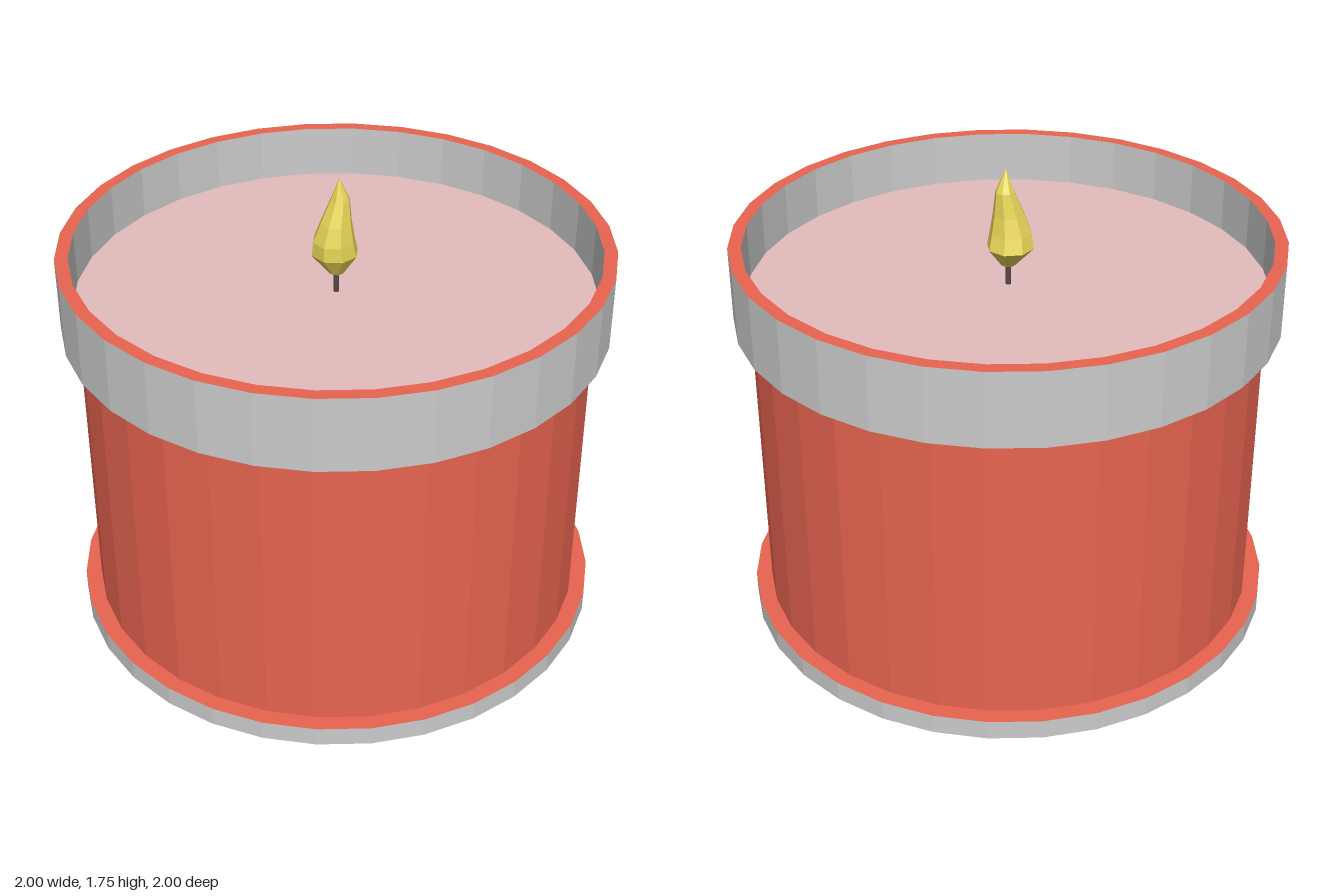
import * as THREE from 'three';

const SIDES = 32;
const mat = (color, side = THREE.FrontSide) =>
  new THREE.MeshStandardMaterial({ color, flatShading: true, side });

export function createModel() {
  const group = new THREE.Group();
  const grey = mat(0xcccccc), greyOpen = mat(0xcccccc, THREE.DoubleSide);
  const red = mat(0xe86450), redOpen = mat(0xe86450, THREE.DoubleSide);
  const wax = mat(0xe4bcbc), yellow = mat(0xe8d658, THREE.DoubleSide), dark = mat(0x5a464c);

  const add = (name, geometry, material, y = 0, parent = group) => {
    const mesh = new THREE.Mesh(geometry, material);
    mesh.name = name;
    mesh.position.y = y;
    parent.add(mesh);
    return mesh;
  };
  // Upright cylinder between two heights
  const drum = (r, y0, y1, open = false) =>
    new THREE.CylinderGeometry(r, r, y1 - y0, SIDES, 1, open).translate(0, (y0 + y1) / 2, 0);
  const flatRing = (r0, r1) => new THREE.RingGeometry(r0, r1, SIDES).rotateX(-Math.PI / 2);

  // Foot plate: grey edge, red faces
  add('base', drum(1, 0, 0.075), [grey, red, red]);
  add('jarBody', drum(0.94, 0.075, 1.21, true), red);

  // Raised collar around the top
  const rim = new THREE.Group();
  rim.name = 'rim';
  group.add(rim);
  add('rimOuterWall', drum(1, 1.21, 1.49, true), greyOpen, 0, rim);
  add('rimInnerWall', drum(0.952, 1.21, 1.49, true), greyOpen, 0, rim);
  add('rimTop', flatRing(0.952, 1), redOpen, 1.49, rim);
  add('rimUnderside', flatRing(0.94, 1), redOpen, 1.21, rim);

  // Wax surface and wick
  add('wax', new THREE.CircleGeometry(0.952, SIDES).rotateX(-Math.PI / 2), wax, 1.29);
  add('wick', new THREE.CylinderGeometry(0.01, 0.01, 0.12, 8), dark, 1.345);

  // Flame: octagonal rings [y, centre x, centre z, radius], leaning as they rise
  const rings = [
    [1.355, 0, 0, 0], [1.37, 0, 0, 0.028], [1.445, -0.002, -0.012, 0.087],
    [1.5, -0.007, -0.006, 0.078], [1.57, 0, -0.003, 0.059],
    [1.66, 0.016, -0.004, 0.035], [1.745, 0.01, 0, 0],
  ];
  const flame = new THREE.CylinderGeometry(1, 1, 1, 8, rings.length - 1, true);
  const pos = flame.attributes.position;
  for (let i = 0; i < pos.count; i++) {
    const row = rings.length - 1 - Math.floor(i / 9);
    const [y, cx, cz, r] = rings[row];
    pos.setXYZ(i, cx + r * pos.getX(i), y, cz + r * pos.getZ(i));
  }
  flame.computeVertexNormals();
  add('flame', flame, yellow);

  return group;
}
